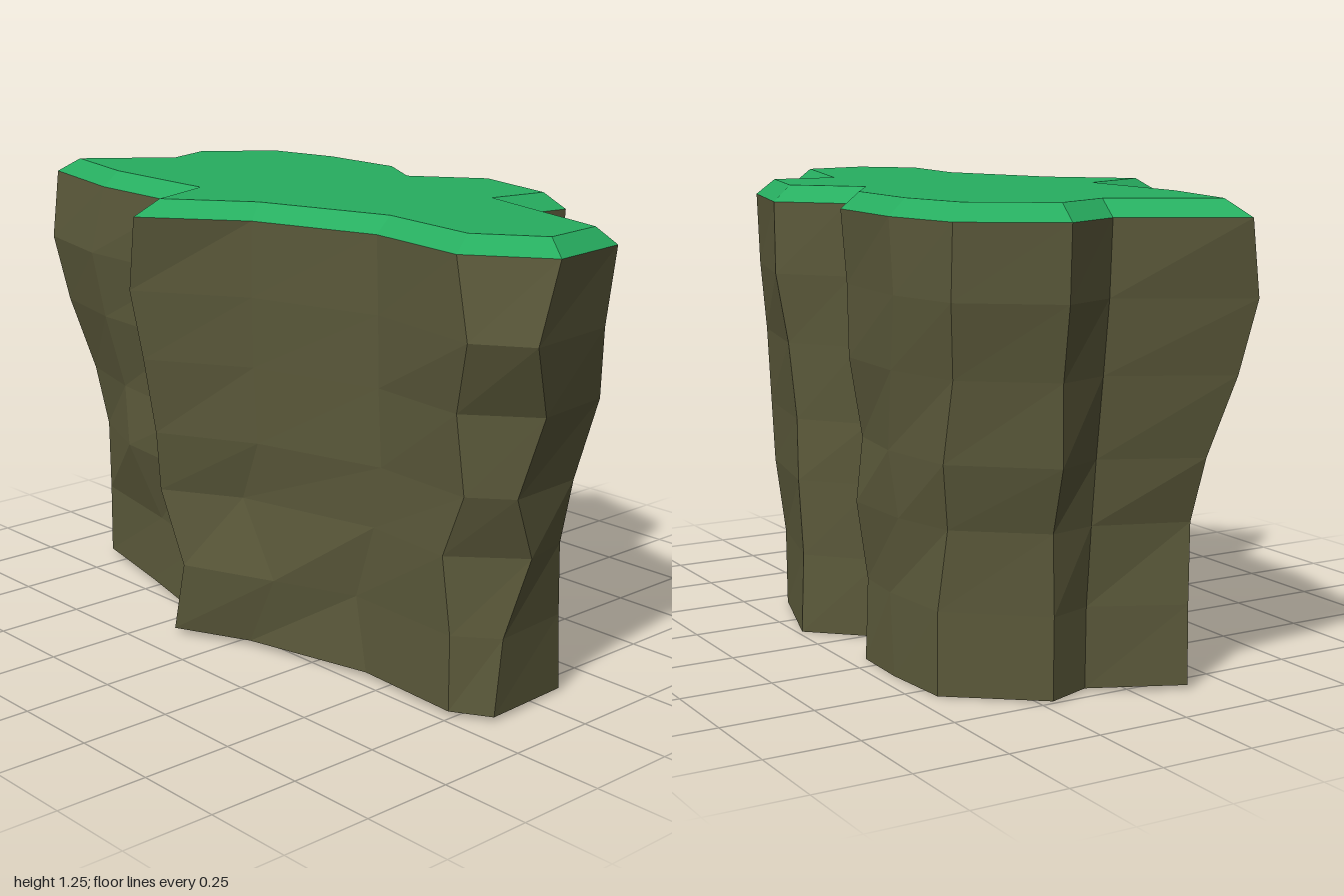
import * as THREE from 'three';

// Outlines as [x, z], running left -> front -> right -> back
const rimOutline = [
  [-1, 0.17], [-0.63, 0.265], [-0.24, 0.29], [-0.13, 0.53], [0.12, 0.34], [0.48, 0.24],
  [0.8, 0.29], [1, 0.15], [0.96, -0.1], [0.49, -0.25], [0.51, -0.43], [0.17, -0.53],
  [-0.01, -0.4], [-0.17, -0.5], [-0.47, -0.52], [-0.71, -0.48], [-0.88, -0.26], [-0.81, -0.1],
];
const footOutline = [
  [-0.83, 0.13], [-0.53, 0.2], [-0.26, 0.27], [-0.16, 0.4], [0.05, 0.3], [0.42, 0.21],
  [0.74, 0.225], [0.84, 0.163], [0.82, -0.105], [0.42, -0.21], [0.43, -0.39], [0.13, -0.485],
  [-0.04, -0.32], [-0.19, -0.45], [-0.36, -0.455], [-0.56, -0.44], [-0.75, -0.22], [-0.71, -0.1],
];

// Height of each rock layer, and how far it has flared from foot to rim
const layers = [[0, 0], [0.22, 0.03], [0.43, 0.22], [0.6, 0.4], [0.81, 0.67], [1, 0.9], [1.2, 1]];

// Chiselled irregularity of each rib on the five middle layers
const bulgeX = {
  0: [0.01, 0.05, 0.03, 0.01, 0], 1: [0.06, -0.03, -0.05, -0.06, -0.06],
  2: [0.06, 0.02, 0.03, 0, -0.01], 3: [0.05, -0.02, -0.01, -0.02, -0.04],
  4: [0.1, -0.03, 0.03, 0.01, 0], 5: [-0.04, 0.02, 0.04, 0.02, 0.01],
  6: [0, -0.03, 0.03, 0, 0.05], 7: [0, 0.01, -0.01, 0, 0],
  14: [0.02, -0.03, 0.02, 0, -0.02], 16: [0, 0.02, -0.01, 0.01, 0],
};
const bulgeZ = {
  0: [0, 0, 0, 0.03, 0.04], 1: [0, 0.02, -0.01, 0.01, 0.02],
  6: [0, 0, -0.01, -0.01, 0.01], 7: [-0.02, -0.07, 0, -0.03, 0.05],
  8: [0.015, 0.05, 0.035, -0.01, 0.02], 9: [0, 0.015, 0, -0.02, 0.025],
  10: [0, -0.015, -0.01, 0, 0], 11: [0.01, 0.01, 0.02, 0.015, -0.005],
  13: [0.01, -0.01, 0.02, 0, 0.01], 15: [0, 0.02, 0, 0.015, 0],
};

// Top and foot planes lean slightly
const rimY = (x, z) => 1.198 + 0.005 * x + 0.01 * z;
const footY = (z) => 0.01 + 0.02 * z;

// One closed ring of points for a rock layer
function rockRing([y, flare], layer) {
  return footOutline.map(([fx, fz], i) => {
    const x = THREE.MathUtils.lerp(fx, rimOutline[i][0], flare) + (bulgeX[i]?.[layer - 1] ?? 0);
    const z = THREE.MathUtils.lerp(fz, rimOutline[i][1], flare) + (bulgeZ[i]?.[layer - 1] ?? 0);
    if (layer === 0) return [x, footY(z), z];
    if (layer === layers.length - 1) return [x, rimY(x, z), z];
    return [x, y, z];
  });
}

// Mitred inward offset of the rim
function insetRim(width, rise) {
  const n = rimOutline.length;
  const inward = (i) => {
    const [ax, az] = rimOutline[i % n];
    const [bx, bz] = rimOutline[(i + 1) % n];
    return new THREE.Vector2(bz - az, ax - bx).normalize();
  };
  return rimOutline.map(([x, z], i) => {
    const before = inward(i + n - 1);
    const after = inward(i);
    const k = width / (1 + before.dot(after));
    const px = x + (before.x + after.x) * k;
    const pz = z + (before.y + after.y) * k;
    return [px, rimY(px, pz) + rise, pz];
  });
}

// Faceted skin through stacked rings
function loft(rings) {
  const out = [];
  for (let r = 0; r < rings.length - 1; r++) {
    const lower = rings[r], upper = rings[r + 1], n = lower.length;
    for (let i = 0; i < n; i++) {
      const j = (i + 1) % n;
      out.push(...lower[i], ...lower[j], ...upper[j], ...lower[i], ...upper[j], ...upper[i]);
    }
  }
  return flat(out);
}

// Flat face filling one ring
function cap(ring, faceUp) {
  const contour = ring.map(([x, , z]) => new THREE.Vector2(x, -z));
  const out = [];
  for (const [a, b, c] of THREE.ShapeUtils.triangulateShape(contour, [])) {
    const order = faceUp ? [a, b, c] : [a, c, b];
    order.forEach((i) => out.push(...ring[i]));
  }
  return flat(out);
}

function flat(positions) {
  const geometry = new THREE.BufferGeometry();
  geometry.setAttribute('position', new THREE.Float32BufferAttribute(positions, 3));
  geometry.computeVertexNormals();
  return geometry;
}

export function createModel() {
  const rock = new THREE.MeshStandardMaterial({ color: 0x5c5a3b });
  rock.name = 'rock';
  const grass = new THREE.MeshStandardMaterial({ color: 0x27ae60 });
  grass.name = 'grass';

  const model = new THREE.Group();
  model.name = 'cliff';
  const add = (name, geometry, material) => {
    const mesh = new THREE.Mesh(geometry, material);
    mesh.name = name;
    model.add(mesh);
  };

  // Rock body
  const rings = layers.map(rockRing);
  add('rockWall', loft(rings), rock);
  add('rockUnderside', cap(rings[0], false), rock);

  // Grass layer with sloped border
  const lawnRing = insetRim(0.047, 0.043);
  add('grassBorder', loft([rings[rings.length - 1], lawnRing]), grass);
  add('grassTop', cap(lawnRing, true), grass);

  return model;
}
